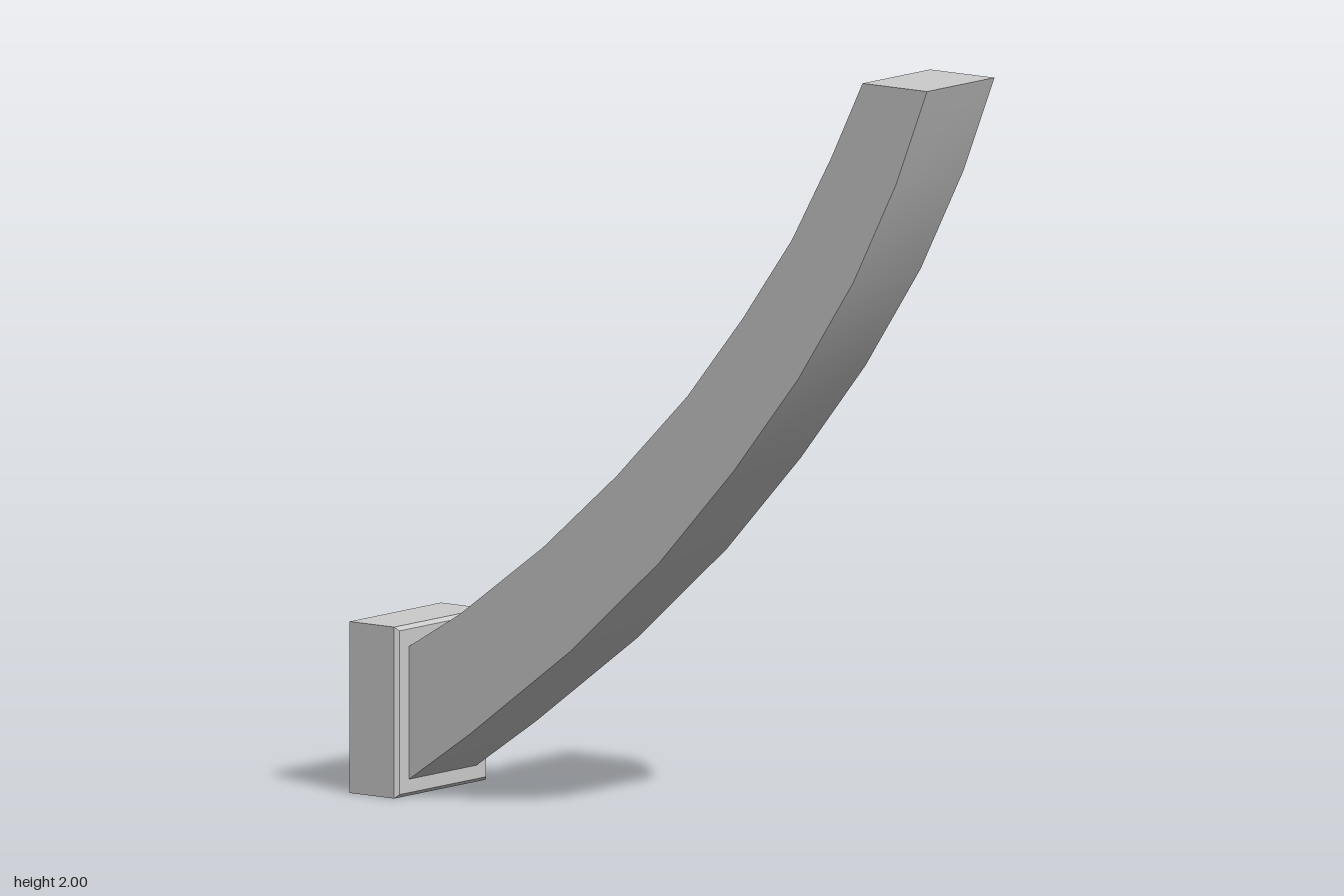
import * as THREE from 'three';

const material = (flatShading) =>
  new THREE.MeshStandardMaterial({ color: 0xcccccc, side: THREE.DoubleSide, flatShading });

// Rectangular cross-section given by its upper and lower edges as [z, y]
const section = (halfWidth, [zu, yu], [zl, yl]) => [
  [halfWidth, yu, zu], [-halfWidth, yu, zu], [-halfWidth, yl, zl], [halfWidth, yl, zl],
];

// Skins four walls through the sections; walls share no corners, so long edges stay sharp
function loft(sections) {
  const positions = [], index = [];
  for (let side = 0; side < 4; side++) {
    const base = positions.length / 3;
    sections.forEach((s, i) => {
      positions.push(...s[side], ...s[(side + 1) % 4]);
      if (i === 0) return;
      const a = base + 2 * (i - 1);
      index.push(a, a + 2, a + 1, a + 1, a + 2, a + 3);
    });
  }
  const geometry = new THREE.BufferGeometry();
  geometry.setAttribute('position', new THREE.Float32BufferAttribute(positions, 3));
  geometry.setIndex(index);
  geometry.computeVertexNormals();
  return geometry;
}

export function createModel() {
  const group = new THREE.Group();
  const add = (name, geometry, flat = false) => {
    const mesh = new THREE.Mesh(geometry, material(flat));
    mesh.name = name;
    group.add(mesh);
    return mesh;
  };

  // Curved hollow arm, from its top end down to the collar
  const upper = [[0.71, 2], [0.61, 1.8], [0.48, 1.57], [0.32, 1.35], [0.14, 1.13],
    [-0.09, 0.9], [-0.33, 0.69], [-0.6, 0.49], [-0.765, 0.39]];
  const lower = [[0.92, 2], [0.82, 1.75], [0.68, 1.48], [0.5, 1.21], [0.29, 0.95],
    [0.05, 0.69], [-0.24, 0.43], [-0.57, 0.18], [-0.765, 0.045]];
  add('curvedArm', loft(upper.map((u, i) => section(0.14, u, lower[i]))));

  // Flat lid on the top end
  const cap = add('topCap', new THREE.PlaneGeometry(0.28, 0.21).rotateX(-Math.PI / 2));
  cap.position.set(0, 2, 0.815);

  // Thin collar: front rim around the arm, small bevel, walls open to the back
  const rings = [
    [0.14, 0.39, 0.045, -0.765],
    [0.18, 0.435, 0.01, -0.765],
    [0.19, 0.445, 0, -0.775],
    [0.19, 0.445, 0, -0.92],
  ];
  add('collar', loft(rings.map(([w, top, bottom, z]) => section(w, [z, top], [z, bottom]))), true);

  return group;
}
